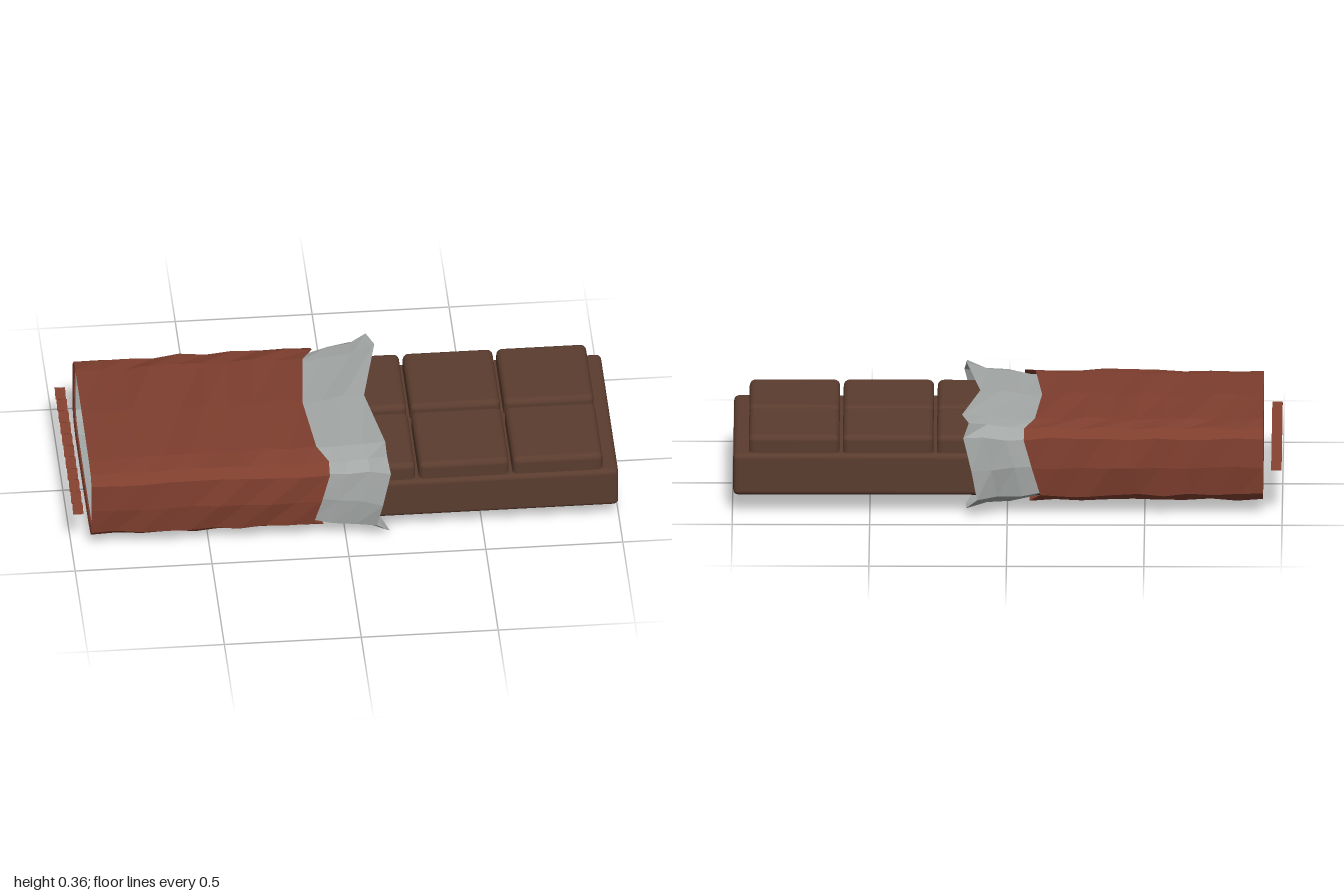
import * as THREE from 'three';
import { RoundedBoxGeometry } from 'three/addons/geometries/RoundedBoxGeometry.js';

const SIDES = 16;
const CENTRE_Y = 0.19;

// Seeded jitter in -1..1 for crumpled paper
function makeJitter(seed) {
  let s = seed;
  return () => {
    s = (s * 16807) % 2147483647;
    return (s / 2147483647) * 2 - 1;
  };
}

// Point on the rounded-rectangle cross-section of the sleeve
function sectionPoint(x, j, scaleZ, scaleY, jz = 0, jy = 0) {
  const a = (j / SIDES) * Math.PI * 2;
  const soft = (v) => (Math.abs(v) < 1e-6 ? 0 : Math.sign(v) * Math.abs(v) ** 0.39);
  return [x, CENTRE_Y + soft(Math.sin(a)) * 0.152 * scaleY + jy, soft(Math.cos(a)) * 0.398 * scaleZ + jz];
}

// Faceted skin over a list of rings (or open strips)
function skin(rings, closed = true) {
  const n = rings[0].length;
  const index = [];
  for (let i = 0; i < rings.length - 1; i++) {
    for (let j = 0; j < (closed ? n : n - 1); j++) {
      const k = (j + 1) % n;
      const a = i * n + j, b = (i + 1) * n + j, c = (i + 1) * n + k, d = i * n + k;
      index.push(a, b, c, a, c, d);
    }
  }
  const indexed = new THREE.BufferGeometry();
  indexed.setAttribute('position', new THREE.Float32BufferAttribute(rings.flat(2), 3));
  indexed.setIndex(index);
  const geometry = indexed.toNonIndexed();
  geometry.computeVertexNormals();
  return geometry;
}

export function createModel() {
  const model = new THREE.Group();
  const chocolate = new THREE.MeshStandardMaterial({ color: 0x5a3c2e });
  const paper = new THREE.MeshStandardMaterial({ color: 0x7e3e2e, side: THREE.DoubleSide });
  const foil = new THREE.MeshStandardMaterial({ color: 0xa2a6a4, side: THREE.DoubleSide });
  chocolate.name = 'chocolate brown';
  paper.name = 'wrapper red brown';
  foil.name = 'foil grey';

  const add = (name, geometry, material, parent = model) => {
    const mesh = new THREE.Mesh(geometry, material);
    mesh.name = name;
    parent.add(mesh);
    return mesh;
  };

  // Chocolate slab with two rows of raised squares
  const bar = new THREE.Group();
  bar.name = 'chocolateBar';
  model.add(bar);
  add('slab', new RoundedBoxGeometry(1.84, 0.157, 0.73, 3, 0.018), chocolate, bar).position.set(0.077, 0.15, 0);
  const squareGeometry = new RoundedBoxGeometry(0.329, 0.12, 0.336, 3, 0.022);
  for (let column = 0; column < 5; column++) {
    for (const side of [-1, 1]) {
      add('square', squareGeometry, chocolate, bar).position.set(0.776 - column * 0.342, 0.234, side * 0.18 + 0.003);
    }
  }

  // Torn edges, one x value for each corner of the section
  const paperEdge = [-0.09, -0.06, -0.06, -0.10, -0.125, -0.10, -0.06, -0.06,
    -0.09, -0.12, -0.08, -0.08, -0.10, -0.09, -0.08, -0.12];
  const foilEdge = [0.13, 0.16, 0.15, 0.15, 0.10, 0.165, 0.14, 0.16,
    0.13, 0.11, 0.15, 0.15, 0.11, 0.14, 0.16, 0.11];
  const corners = [...Array(SIDES).keys()];

  // Crumpled paper sleeve with a turned-in rim at the closed end
  const shake = makeJitter(4711);
  const paperRings = [corners.map((j) => sectionPoint(-0.925, j, 0.95, 0.9))];
  const steps = 9;
  for (let i = 0; i <= steps; i++) {
    const t = i / steps;
    const grow = 1 + 0.02 * t;
    paperRings.push(corners.map((j) => {
      const x = THREE.MathUtils.lerp(-0.93, paperEdge[j], t);
      return sectionPoint(x, j, grow, grow + 0.02 * t, shake() * 0.006, shake() * 0.006);
    }));
  }
  add('paperSleeve', skin(paperRings), paper);

  // Foil lining that flares out past the torn paper
  const foilRings = [-0.92, -0.5].map((x) => corners.map((j) => sectionPoint(x, j, 0.95, 0.9)));
  const flare = [[0, 0.965, 0.95], [0.35, 1.02, 1.02], [0.7, 1.03, 1.08], [1, 1.085, 1.18]];
  for (const [t, scaleZ, scaleY] of flare) {
    const wobble = t * 0.012;
    foilRings.push(corners.map((j) => {
      const x = THREE.MathUtils.lerp(paperEdge[j] - 0.02, foilEdge[j], t);
      return sectionPoint(x, j, scaleZ, scaleY, shake() * wobble, shake() * wobble);
    }));
  }
  add('foilLining', skin(foilRings), foil);

  // Zigzag crimped strip at the end of the wrapper
  const folds = 22;
  const crimp = [-0.998, -0.96].map((x) =>
    [...Array(folds + 1).keys()].map((i) => [x, i % 2 ? 0.205 : 0.18, 0.393 - (i / folds) * 0.786]));
  add('crimpedEnd', skin(crimp, false), paper);

  return model;
}
